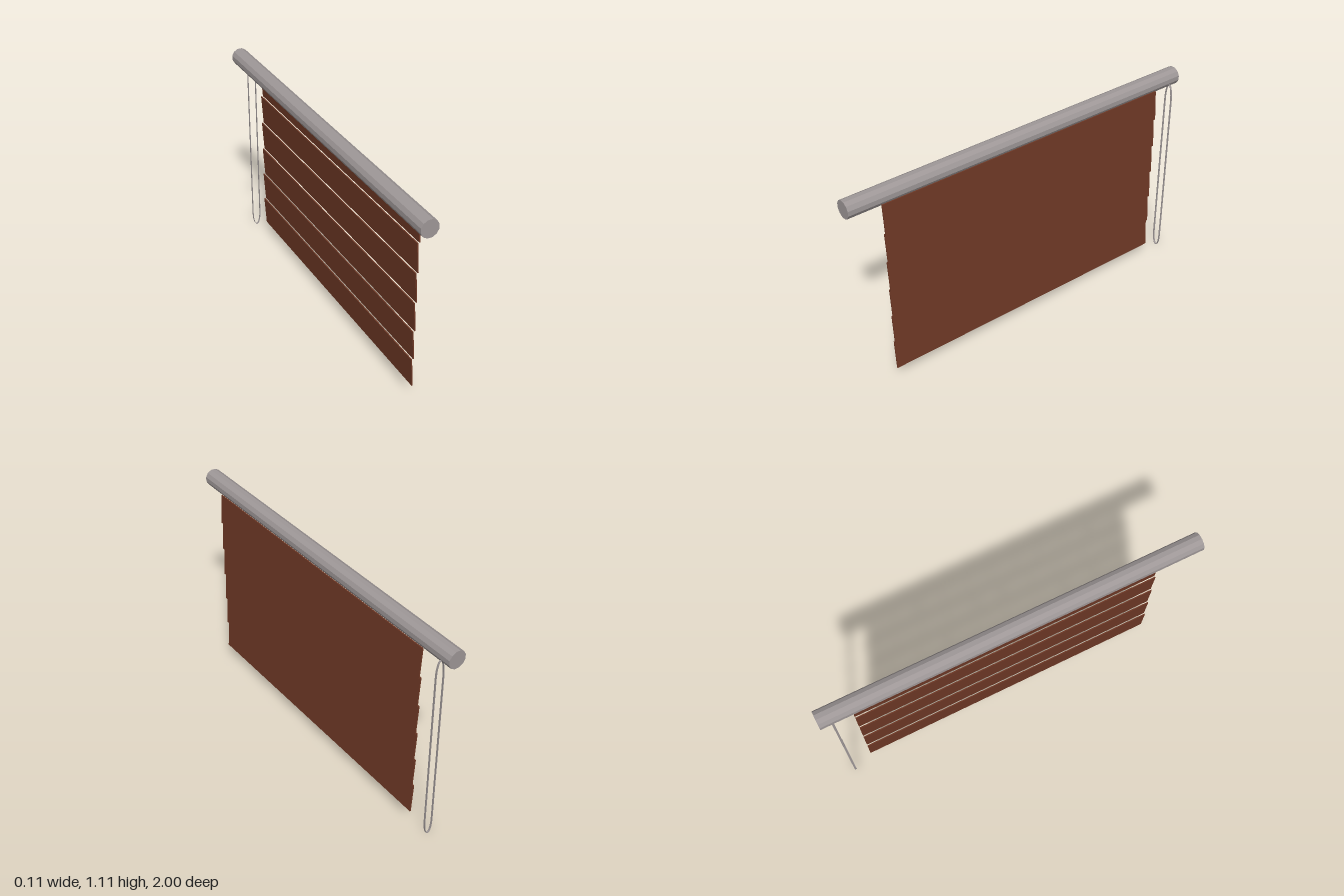
import * as THREE from 'three';

export function createModel() {
  const model = new THREE.Group();
  const metal = new THREE.MeshStandardMaterial({ color: 0x9e9797 });
  metal.name = 'grey metal';
  const wood = new THREE.MeshStandardMaterial({ color: 0x6e3825 });
  wood.name = 'brown wood';

  const add = (name, geometry, material) => {
    const flat = geometry.index ? geometry.toNonIndexed() : geometry;
    flat.computeVertexNormals();
    const mesh = new THREE.Mesh(flat, material);
    mesh.name = name;
    model.add(mesh);
    return mesh;
  };

  // Twelve-sided head roller running along z
  const roller = new THREE.CylinderGeometry(0.047, 0.047, 2, 12, 1, false, Math.PI / 12);
  add('headRoller', roller.rotateX(Math.PI / 2), metal).position.set(-0.011, 1.066, 0);

  // Six slats, each leaning outward at its lower edge
  const pitch = 0.163;
  const lean = 0.011;
  const thickness = 0.006;
  const slatShape = new THREE.Shape([
    new THREE.Vector2(0.035, pitch),
    new THREE.Vector2(0.035 + lean, 0),
    new THREE.Vector2(0.035 + lean + thickness, 0),
    new THREE.Vector2(0.035 + thickness, pitch),
  ]);
  for (let i = 0; i < 6; i++) {
    const slat = new THREE.ExtrudeGeometry(slatShape, { depth: 1.664, bevelEnabled: false });
    add(`slat${i + 1}`, slat, wood).position.set(0, 0.068 + i * pitch, -0.832);
  }

  // Flat cord loop: two long runs joined by elliptical bends
  const loopPoints = (inset) => {
    const points = [];
    const n = 14;
    for (const [y, ry, start] of [[0.95, 0.095, 0], [0.08, 0.08, Math.PI]]) {
      for (let i = 0; i <= n; i++) {
        const a = start + (i / n) * Math.PI;
        points.push(new THREE.Vector2(
          0.0285 + (0.0235 - inset) * Math.cos(a),
          y + (ry - inset) * Math.sin(a)));
      }
    }
    return points;
  };
  const cordShape = new THREE.Shape(loopPoints(0));
  cordShape.holes.push(new THREE.Path(loopPoints(0.003)));
  const cord = new THREE.ExtrudeGeometry(cordShape, { depth: 0.01, bevelEnabled: false });
  add('pullCord', cord, metal).position.z = -0.945;

  return model;
}
